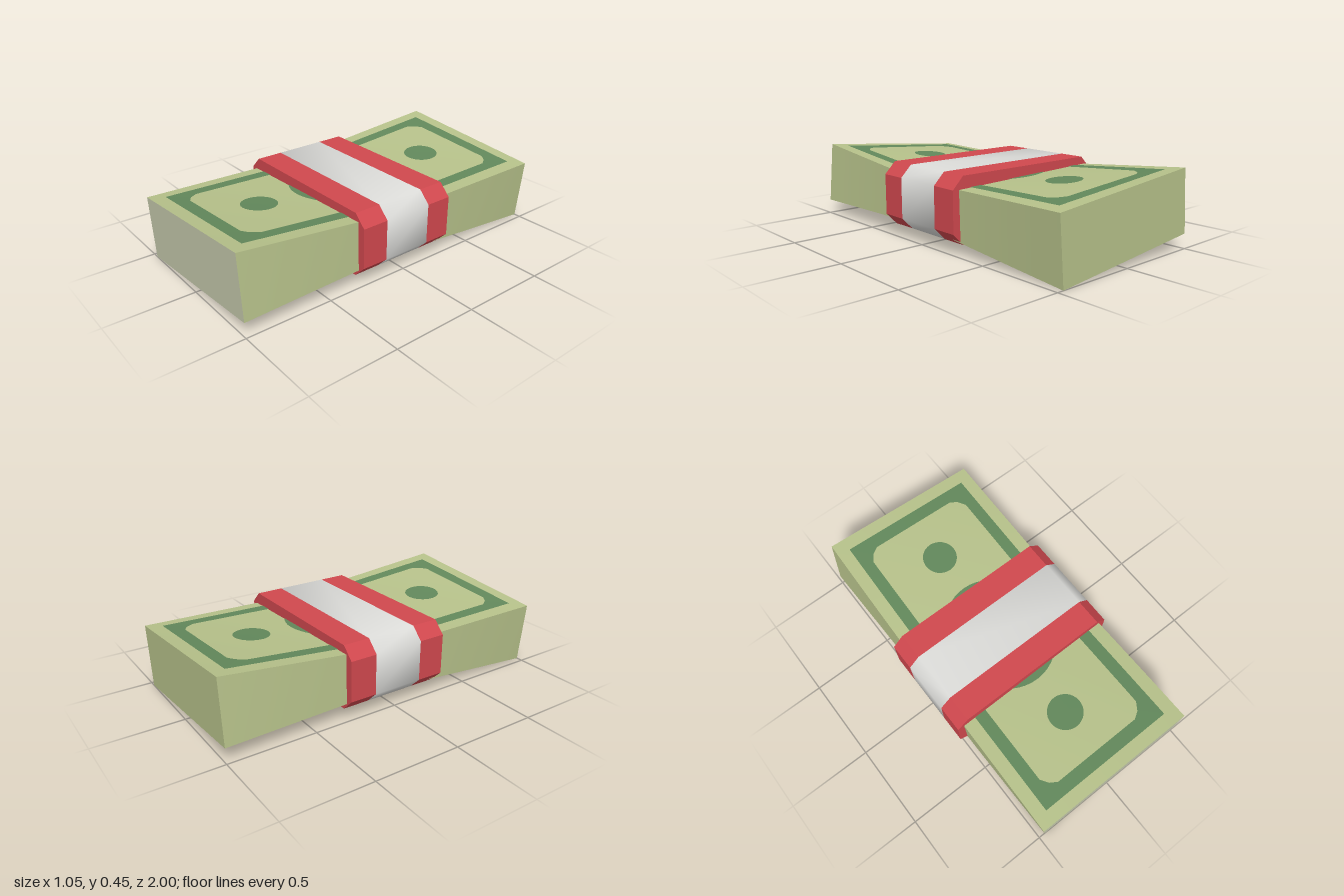
import * as THREE from 'three';
import { toCreasedNormals } from 'three/addons/utils/BufferGeometryUtils.js';

const material = (name, color) => {
  const m = new THREE.MeshStandardMaterial({ color });
  m.name = name;
  return m;
};

const CENTRE_Y = 0.2225;
const TWIST = 0.0888; // radians of twist per unit of z

// Maps flat stack space (x, y = -1..1, z) to the pinched, twisted stack.
function warp(geometry, lift = 0) {
  const p = geometry.attributes.position;
  for (let i = 0; i < p.count; i++) {
    const x = p.getX(i), z = p.getZ(i), a = TWIST * z;
    const y = p.getY(i) * (0.123 + 0.058 * Math.abs(z) + lift);
    p.setXYZ(i, x * Math.cos(a) - y * Math.sin(a), CENTRE_Y + x * Math.sin(a) + y * Math.cos(a), z);
  }
  geometry.computeVertexNormals();
  return geometry;
}

// Printed shape between two outlines, on the top (side 1) or bottom (side -1).
function print(outer, inner, side, columns, rows) {
  const g = new THREE.PlaneGeometry(1, 1, columns, rows);
  const p = g.attributes.position, uv = g.attributes.uv;
  for (let i = 0; i < p.count; i++) {
    const [ox, oz] = outer(uv.getX(i)), [ix, iz] = inner(uv.getX(i)), v = uv.getY(i);
    p.setXYZ(i, ix + (ox - ix) * v, side, side * (iz + (oz - iz) * v));
  }
  return warp(g, 0.003);
}

// Closed polygon as a function of t = 0..1
const polygon = (pts) => (t) => {
  const s = t * pts.length, k = Math.min(Math.floor(s), pts.length - 1), f = s - k;
  const a = pts[k], b = pts[(k + 1) % pts.length];
  return [a[0] + (b[0] - a[0]) * f, a[1] + (b[1] - a[1]) * f];
};

// Repeats one corner's points round all four corners
const fourCorners = (c) => {
  const flip = (sx, sz) => c.map(([x, z]) => [x * sx, z * sz]);
  return [...flip(1, 1), ...flip(-1, 1).reverse(), ...flip(-1, -1), ...flip(1, -1).reverse()];
};

const ellipse = (rx, rz, cz) => (t) =>
  [rx * Math.cos(t * Math.PI * 2), cz + rz * Math.sin(t * Math.PI * 2)];

export function createModel() {
  const paper = material('paper', 0xb6c18a);
  const endPaper = material('pale end paper', 0xc2c6a9);
  const ink = material('green ink', 0x62885b);
  const red = material('red band', 0xd0484e);
  const white = material('white band', 0xdbdbd8);

  const model = new THREE.Group();
  model.name = 'banknoteBundle';
  const add = (name, geometry, mat, parent = model) => {
    const mesh = new THREE.Mesh(geometry, mat);
    mesh.name = name;
    parent.add(mesh);
    return mesh;
  };

  // Stack of notes, with a paler front end
  add('noteStack', warp(new THREE.BoxGeometry(0.96, 2, 2, 12, 1, 20)),
    [paper, paper, paper, paper, endPaper, paper]);

  // Printed border, seals and centre oval on both faces
  const outer = polygon(fourCorners([[0.405, 0.78], [0.405, 0.925], [0.265, 0.925]]));
  const inner = polygon(fourCorners([[0.335, 0.78], [0.305, 0.825], [0.265, 0.85]]));
  for (const side of [1, -1]) {
    const face = new THREE.Group();
    face.name = side > 0 ? 'topPrint' : 'bottomPrint';
    model.add(face);
    add('border', print(outer, inner, side, 192, 1), ink, face);
    for (const z of [0.585, -0.585]) {
      add('seal', print(ellipse(0.1, 0.1, z), () => [0, z], side, 32, 2), ink, face);
    }
    add('centreOval', print(ellipse(0.3, 0.345, 0), () => [0, 0], side, 48, 8), ink, face);
  }

  // Paper band: chamfered slabs, white between two red edges
  const band = new THREE.Group();
  band.name = 'band';
  model.add(band);
  const w = 0.523, lo = 0.055, hi = 0.42, c = 0.067;
  const section = new THREE.Shape([
    [w, lo + c], [w, hi - c], [w - c, hi], [c - w, hi],
    [-w, hi - c], [-w, lo + c], [c - w, lo], [w - c, lo],
  ].map(([x, y]) => new THREE.Vector2(x, y)));
  const slab = (z0, z1) =>
    new THREE.ExtrudeGeometry(section, { depth: z1 - z0, bevelEnabled: false }).translate(0, 0, z0);
  add('bandFrontEdge', slab(0.147, 0.303), red, band);
  add('bandBackEdge', slab(-0.303, -0.147), red, band);
  add('bandCentre', toCreasedNormals(slab(-0.147, 0.147), 0.9), white, band);

  return model;
}
